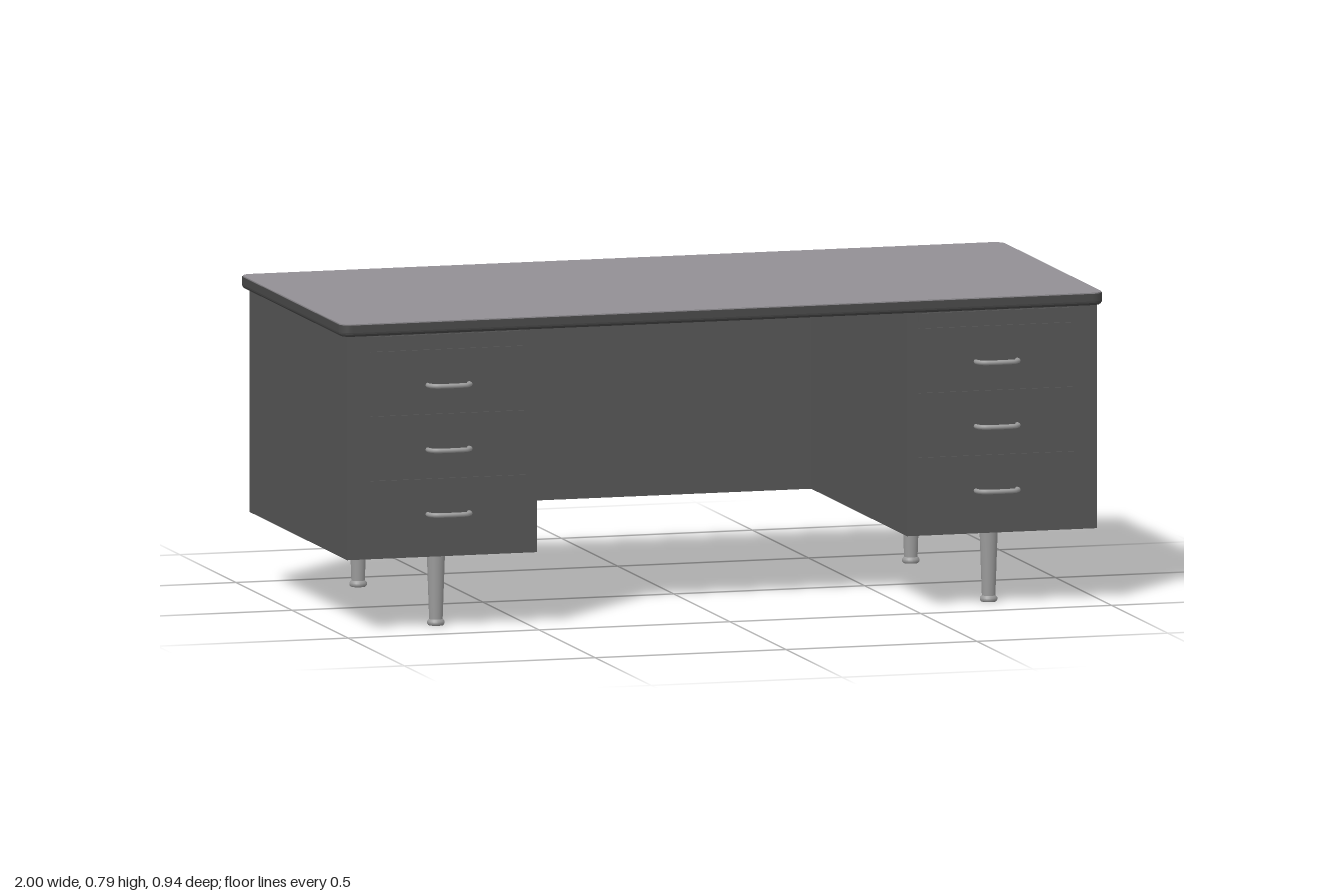
import * as THREE from 'three';

const paint = (name, color, side = THREE.FrontSide) => {
  const m = new THREE.MeshStandardMaterial({ color, side });
  m.name = name;
  return m;
};

// Plan shapes are drawn in (x, -z) and raised along y
function raise(shape, y0, y1, bevel = 0) {
  const geo = new THREE.ExtrudeGeometry(shape, {
    depth: y1 - y0 - 2 * bevel, bevelEnabled: bevel > 0, bevelSize: bevel,
    bevelThickness: bevel, bevelOffset: -bevel, bevelSegments: 4, curveSegments: 8,
  });
  return geo.rotateX(-Math.PI / 2).translate(0, y0 + bevel, 0);
}

function roundedPlan(x, zBack, zFront, r) {
  const s = new THREE.Shape();
  const a = -zFront, b = -zBack;
  s.moveTo(-x + r, a);
  s.lineTo(x - r, a);
  s.absarc(x - r, a + r, r, -Math.PI / 2, 0);
  s.lineTo(x, b - r);
  s.absarc(x - r, b - r, r, 0, Math.PI / 2);
  s.lineTo(-x + r, b);
  s.absarc(-x + r, b - r, r, Math.PI / 2, Math.PI);
  s.lineTo(-x, a + r);
  s.absarc(-x + r, a + r, r, Math.PI, Math.PI * 1.5);
  return s;
}

export function createModel() {
  const steel = paint('dark grey steel', 0x555555);
  const edge = paint('dark edge band', 0x484848);
  const laminate = paint('grey laminate', 0x928f94);
  const metal = paint('brushed metal', 0x9a9a9a);

  const desk = new THREE.Group();
  desk.name = 'desk';
  const add = (name, geo, mat, x = 0, y = 0, z = 0, parent = desk) => {
    const mesh = new THREE.Mesh(geo, mat);
    mesh.name = name;
    mesh.position.set(x, y, z);
    parent.add(mesh);
    return mesh;
  };

  // Desktop: band rounded underneath, square above, with a laminate sheet
  const plan = roundedPlan(1, -0.472, 0.441, 0.03);
  add('topBandLower', raise(plan, 0.754, 0.785, 0.011), edge);
  add('topBandUpper', raise(plan, 0.768, 0.784), edge);
  add('topSheet', raise(roundedPlan(0.998, -0.47, 0.439, 0.029), 0.783, 0.787), laminate);

  // Carcass: two pedestals joined by a thin back panel
  const body = new THREE.Shape([
    [-0.982, -0.43], [-0.485, -0.43], [-0.485, 0.425], [0.485, 0.425],
    [0.485, -0.43], [0.982, -0.43], [0.982, 0.438], [-0.982, 0.438],
  ].map(([x, y]) => new THREE.Vector2(x, y)));
  add('carcass', raise(body, 0.187, 0.756), steel);

  // Shared drawer, pull and leg geometries
  const drawerGeo = new THREE.BoxGeometry(0.408, 0.159, 0.008);
  const boardGeo = new THREE.BoxGeometry(0.408, 0.022, 0.02);
  const pullPath = new THREE.CatmullRomCurve3([
    [-0.054, 0.43], [-0.053, 0.448], [-0.042, 0.462], [-0.02, 0.466],
    [0.02, 0.466], [0.042, 0.462], [0.053, 0.448], [0.054, 0.43],
  ].map(([x, z]) => new THREE.Vector3(x, 0, z)));
  const pullGeo = new THREE.TubeGeometry(pullPath, 28, 0.006, 8);
  const plateGeo = new THREE.BoxGeometry(0.094, 0.006, 0.094);
  const legGeo = new THREE.CylinderGeometry(0.023, 0.017, 0.17, 24);
  const footGeo = new THREE.LatheGeometry([
    [0, 0], [0.019, 0], [0.022, 0.004], [0.022, 0.01], [0.018, 0.015], [0.016, 0.016],
  ].map(([r, y]) => new THREE.Vector2(r, y)), 24);

  for (const side of [-1, 1]) {
    const name = side > 0 ? 'left' : 'right';
    const front = new THREE.Group();
    front.name = name + 'DrawerStack';
    desk.add(front);

    // Pull-out writing board above three drawers
    add('pullOutBoard', boardGeo, steel, side * 0.718, 0.741, 0.425, front);
    for (const y of [0.634, 0.47, 0.306]) {
      add('drawerFront', drawerGeo, steel, side * 0.718, y, 0.43, front);
      add('drawerPull', pullGeo, metal, side * 0.718, y - 0.01, 0, front);
    }

    // Tapered legs on square mounting plates
    for (const z of [0.343, -0.35]) {
      const leg = new THREE.Group();
      leg.name = name + (z > 0 ? 'FrontLeg' : 'BackLeg');
      leg.position.set(side * 0.724, 0, z);
      desk.add(leg);
      add('mountingPlate', plateGeo, metal, 0, 0.185, 0, leg);
      add('taperedLeg', legGeo, metal, 0, 0.099, 0, leg);
      add('foot', footGeo, metal, 0, 0, 0, leg);
    }
  }
  return desk;
}
